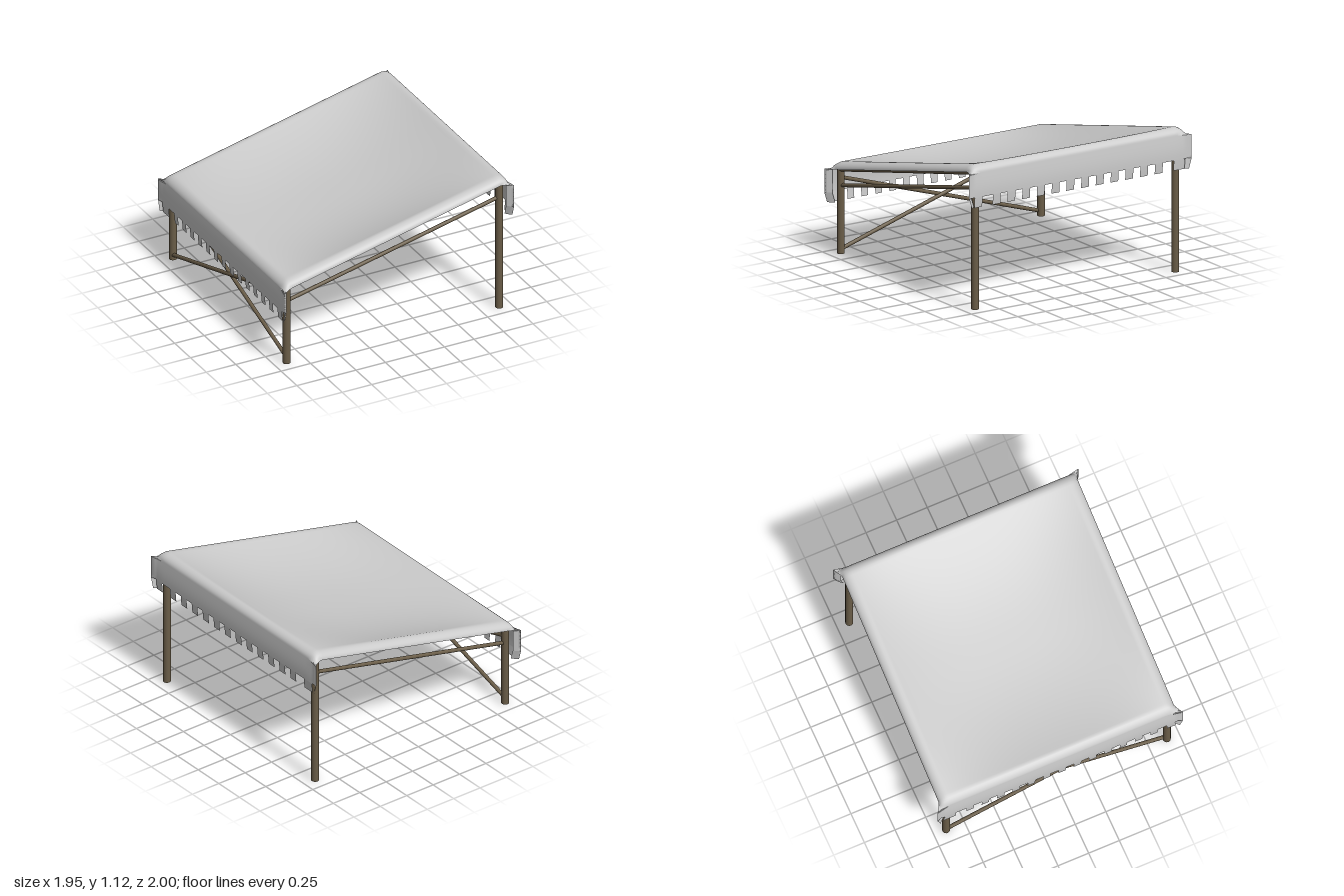
import * as THREE from 'three';

const wood = new THREE.MeshStandardMaterial({ color: 0x6a5d48 });
const cloth = new THREE.MeshStandardMaterial({ color: 0xcccccc, side: THREE.DoubleSide });

// Round pole between two points
function pole(name, a, b, r) {
  const p = new THREE.Vector3(...a), q = new THREE.Vector3(...b);
  const mesh = new THREE.Mesh(new THREE.CylinderGeometry(r, r, p.distanceTo(q), 16), wood);
  mesh.position.copy(p).add(q).multiplyScalar(0.5);
  mesh.quaternion.setFromUnitVectors(new THREE.Vector3(0, 1, 0), q.sub(p).normalize());
  mesh.name = name;
  return mesh;
}

// Smooth sheet of nu x nv cells, fn(u, v) gives each point for u, v in 0..1
function sheet(name, nu, nv, fn) {
  const pos = [], index = [];
  for (let j = 0; j <= nv; j++)
    for (let i = 0; i <= nu; i++) pos.push(...fn(i / nu, j / nv));
  for (let j = 0; j < nv; j++)
    for (let i = 0; i < nu; i++) {
      const a = j * (nu + 1) + i, b = a + 1, c = a + nu + 1, d = c + 1;
      index.push(a, c, b, b, c, d);
    }
  const geo = new THREE.BufferGeometry();
  geo.setAttribute('position', new THREE.Float32BufferAttribute(pos, 3));
  geo.setIndex(index);
  geo.computeVertexNormals();
  const mesh = new THREE.Mesh(geo, cloth);
  mesh.name = name;
  return mesh;
}

const slope = 0.231;
const over = (v, start, width) => Math.max(0, (Math.abs(v) - start) / width);

// Sagging roof cloth, rolled over the frame and pinched out at the corners
function roofPoint(u, v) {
  const x = 0.953 * Math.sin((u - 0.5) * Math.PI), z = 0.96 * Math.sin((v - 0.5) * Math.PI);
  const X = Math.min(1, Math.abs(x) / 0.9), Z = Math.min(1, Math.abs(z) / 0.89);
  const sag = 0.13 * (1 - X ** 2.4) * (1 - Z ** 2.4);
  const d = Math.min(1, Math.hypot(over(x, 0.885, 0.068), over(z, 0.885, 0.075)));
  const drop = 0.055 * (1 - Math.sqrt(1 - d * d));
  const flare = over(x, 0.9, 0.053) * over(z, 0.9, 0.06);
  return [
    x + Math.sign(x) * 0.02 * flare,
    0.92 + slope * Math.min(x, 0.88) - sag - drop,
    z + Math.sign(z) * 0.04 * flare,
  ];
}

// Hanging valance: body with folded ends, and a row of square tabs
function valance(name, side, top, teeth) {
  const group = new THREE.Group();
  group.name = name;
  const hem = top - 0.185, tip = top - 0.265;
  const ends = [[0.93, 0.955], [0.955, 0.985], [0.972, 1], [0.96, 0.965], [0.953, 0.93]];
  const path = ends.map(([x, z]) => [x, z]);
  for (let i = 1; i < 24; i++) path.push([0.953, 0.93 - 1.86 * i / 24]);
  path.push(...ends.map(([x, z]) => [x, -z]).reverse());
  const bulge = (y) => 0.012 * Math.sin(Math.PI * Math.min(1, (top - y) / 0.3));

  group.add(sheet('valanceBody', path.length - 1, 6, (u, v) => {
    const [x, z] = path[Math.round(u * (path.length - 1))];
    const y = top + (hem - top) * v;
    return [side * (x + (x === 0.953 ? bulge(y) : 0)), y, z];
  }));
  for (const [center, width] of teeth)
    group.add(sheet('valanceTab', 2, 2, (u, v) => {
      const y = hem + (tip - hem) * v;
      return [side * (0.953 + bulge(y)), y, center + (0.5 - u) * width];
    }));
  // Long tabs on the folded ends
  for (const s of [-1, 1])
    group.add(sheet('cornerTab', 2, 2, (u, v) => {
      const [x, z] = ends[Math.round(u * 2)];
      const y = hem + (tip - hem) * v;
      return [side * x, y, s * (z - 0.025 * v)];
    }));
  return group;
}

function tabRow(count, first, step, width) {
  const row = [[0.91, 0.07], [-0.895, 0.1]];
  for (let i = 0; i < count; i++) row.push([first - i * step, width]);
  return row;
}

export function createModel() {
  const model = new THREE.Group();

  // Posts and sloping side rails
  for (const z of [-0.9, 0.9]) {
    model.add(pole('lowPost', [-0.9, 0, z], [-0.9, 0.66, z], 0.03));
    model.add(pole('highPost', [0.9, 0, z], [0.9, 1.075, z], 0.03));
    model.add(pole('topSideRail', [-0.9, 0.662, z], [0.9, 1.072, z], 0.028));
    model.add(pole('lowerSideRail', [-0.9, 0.527, z], [0.9, 0.943, z], 0.015));
  }

  // Cross rails at the low and high ends
  model.add(pole('lowEndRail', [-0.9, 0.664, -0.9], [-0.9, 0.664, 0.9], 0.028));
  model.add(pole('highEndRail', [0.9, 1.072, -0.9], [0.9, 1.072, 0.9], 0.028));

  // Crossed braces between the low posts
  for (const s of [-1, 1])
    model.add(pole('crossBrace', [-0.9 + s * 0.006, 0.035, s * 0.9], [-0.9 + s * 0.006, 0.59, -s * 0.9], 0.015));

  // Cloth
  model.add(sheet('roofCloth', 64, 64, roofPoint));
  model.add(valance('lowValance', -1, 0.655, tabRow(13, 0.77, 0.125, 0.06)));
  model.add(valance('highValance', 1, 1.07, tabRow(12, 0.746, 0.1325, 0.07)));
  return model;
}
